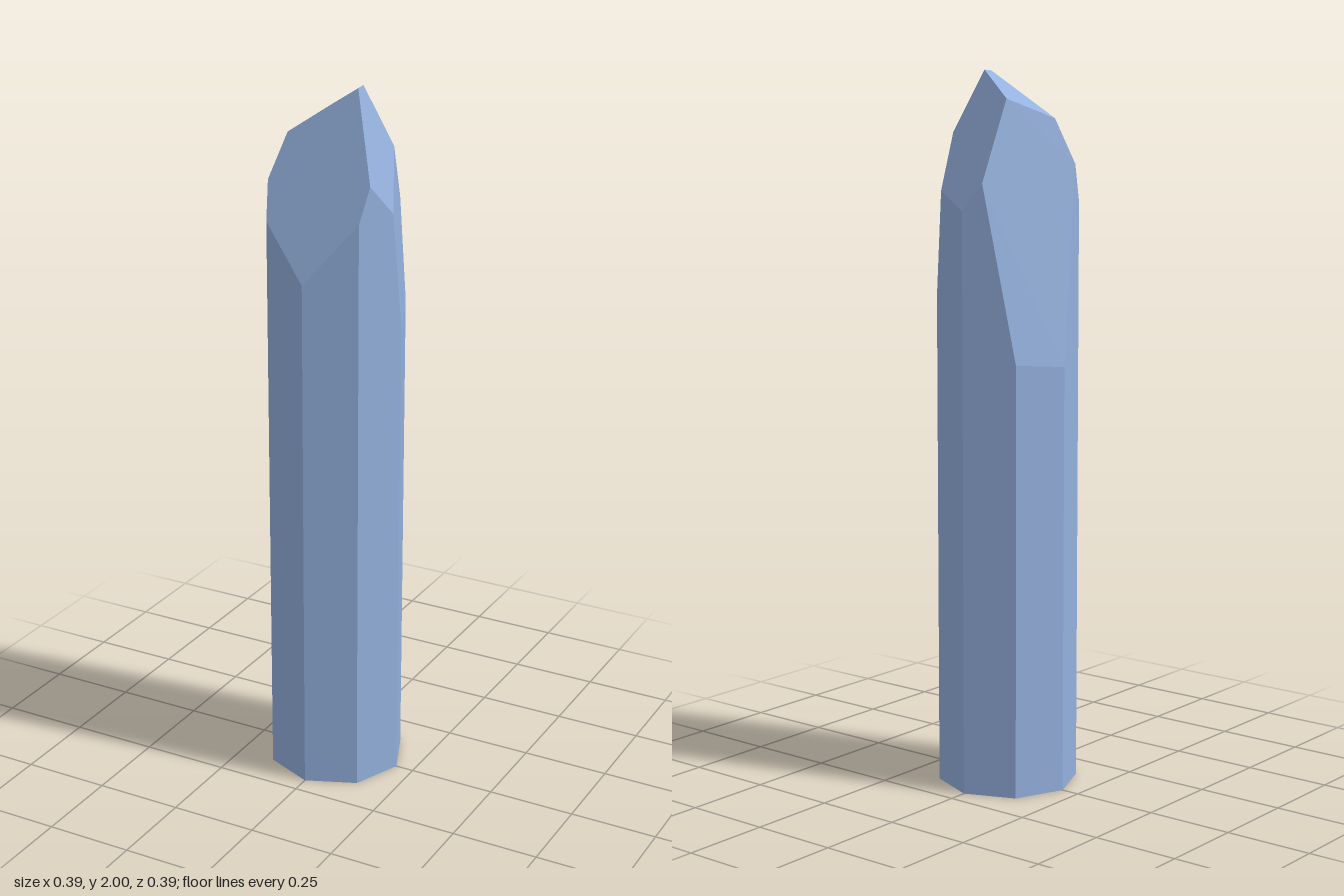
import * as THREE from 'three';
import { ConvexGeometry } from 'three/addons/geometries/ConvexGeometry.js';

const RADIUS = 0.197;

// Each plane keeps the side where normal . p <= d
const plane = (x, y, z, d) => ({ n: new THREE.Vector3(x, y, z), d });

// Sloping cut: y <= h + b * x + c * z
const cut = (h, b, c) => plane(-b, 1, -c, h);

// Corners of the solid enclosed by the planes
function corners(planes) {
  const points = [];
  const m = new THREE.Matrix3();
  for (let i = 0; i < planes.length; i++)
    for (let j = i + 1; j < planes.length; j++)
      for (let k = j + 1; k < planes.length; k++) {
        const [p, q, r] = [planes[i], planes[j], planes[k]];
        m.set(p.n.x, p.n.y, p.n.z, q.n.x, q.n.y, q.n.z, r.n.x, r.n.y, r.n.z);
        if (Math.abs(m.determinant()) < 1e-6) continue;
        const v = new THREE.Vector3(p.d, q.d, r.d).applyMatrix3(m.invert());
        if (planes.every((s) => s.n.dot(v) <= s.d + 1e-6)) points.push(v);
      }
  return points;
}

export function createModel() {
  const group = new THREE.Group();
  group.name = 'crystalShard';
  const crystalBlue = new THREE.MeshStandardMaterial({ color: 0x94b0dd });
  crystalBlue.name = 'crystalBlue';

  // Flat base and eight upright sides
  const planes = [plane(0, -1, 0, 0)];
  for (let i = 0; i < 8; i++) {
    const a = ((i + 0.5) * Math.PI) / 4;
    planes.push(plane(Math.cos(a), 0, Math.sin(a), RADIUS * Math.cos(Math.PI / 8)));
  }

  // Facets of the pointed tip
  planes.push(
    cut(2.032, 0.1, -2.7), // front
    cut(2.196, -2.8, 0), // left
    cut(2.073, -0.5, 2.27), // back
    cut(1.954, 0.654, -0.1), // top
    cut(3.97, -13.3, 5.25), // steep back left
    cut(2.521, 6.7, 2.68), // steep right
  );

  const crystal = new THREE.Mesh(new ConvexGeometry(corners(planes)), crystalBlue);
  crystal.name = 'crystal';
  group.add(crystal);
  return group;
}
